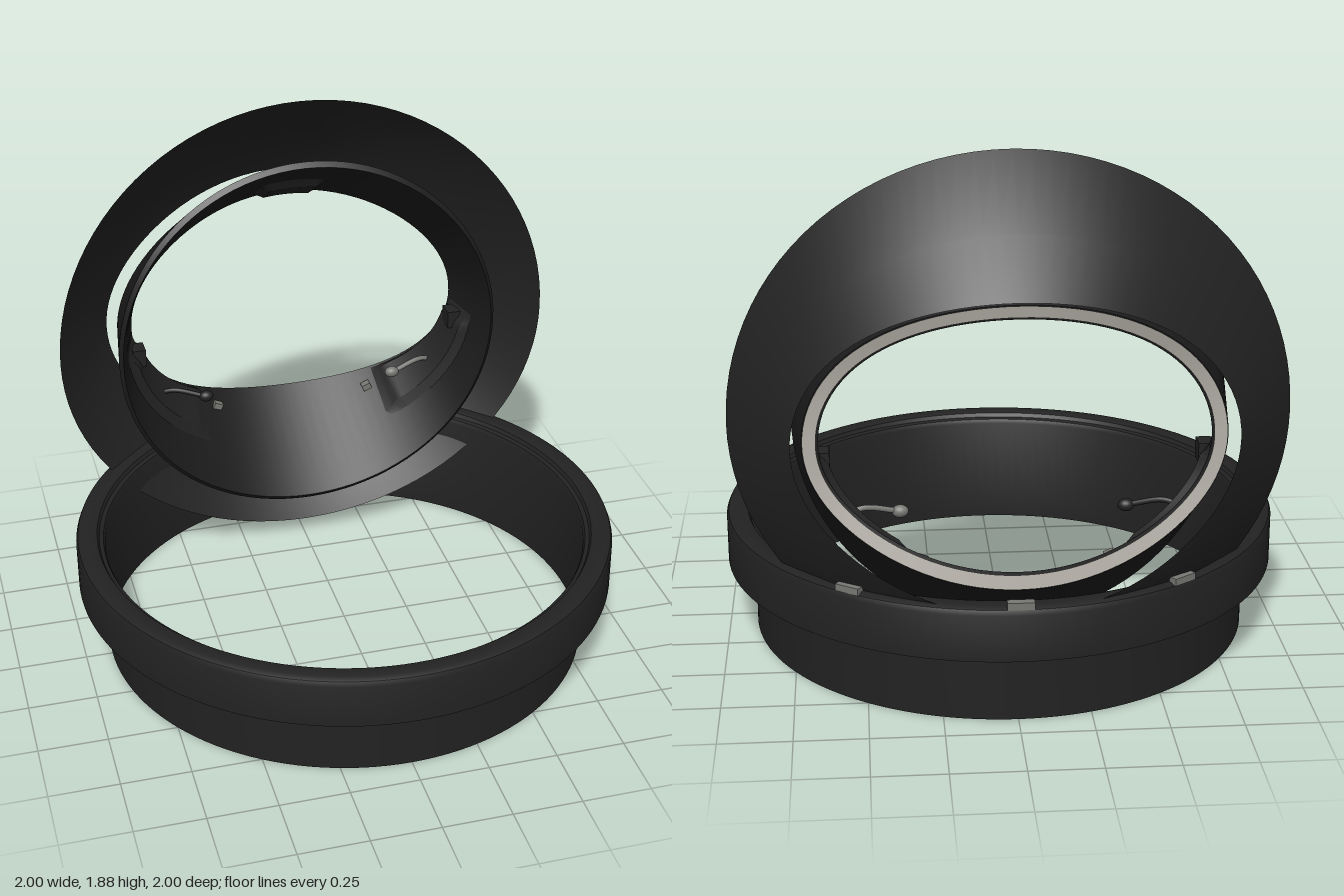
import * as THREE from 'three';
import { toCreasedNormals } from 'three/addons/utils/BufferGeometryUtils.js';

const CY = 0.95; // height of the opening's centre

// Oval cross-section: half width, top, bottom, depth at the sides, depth at top and bottom
function oval(rx, top, bottom, zSide, zEnd, power = 2) {
  return (a) => {
    const s = Math.sin(a);
    return new THREE.Vector3(
      rx * Math.cos(a),
      CY + (s > 0 ? top - CY : CY - bottom) * s,
      zSide + (zEnd - zSide) * Math.abs(s) ** power
    );
  };
}

// Skin a list of cross-sections from angle a0 to a1
function loft(sections, a0 = 0, a1 = Math.PI * 2, n = 96) {
  const pos = [], index = [], w = n + 1;
  sections.forEach((section, j) => {
    for (let i = 0; i <= n; i++) {
      const p = section(a0 + ((a1 - a0) * i) / n);
      pos.push(p.x, p.y, p.z);
      if (j && i < n) {
        const b = j * w + i, c = b - w;
        index.push(c, c + 1, b, b, c + 1, b + 1);
      }
    }
  });
  const g = new THREE.BufferGeometry();
  g.setAttribute('position', new THREE.Float32BufferAttribute(pos, 3));
  g.setIndex(index);
  return toCreasedNormals(g, 0.5);
}

// Section between two others, pulled towards the centre, with tapered ends
function between(p, q, t, inset = 0, a0 = 0, a1 = 1) {
  return (a) => {
    const v = p(a).lerp(q(a), t);
    const k = Math.min(1, 8 * Math.min(a - a0, a1 - a) / (a1 - a0));
    const f = 1 - inset * Math.max(0, k);
    v.x *= f;
    v.y = CY + (v.y - CY) * f;
    return v;
  };
}

export function createModel() {
  const model = new THREE.Group();
  const mat = (name, color) => {
    const m = new THREE.MeshStandardMaterial({ color, side: THREE.DoubleSide });
    m.name = name;
    return m;
  };
  const black = mat('black', 0x222222);
  const dark = mat('dark lining', 0x1b1b1b);
  const grey = mat('light grey', 0xb4b0a8);
  const metal = mat('metal', 0x777773);

  const add = (name, geometry, material) => {
    const m = new THREE.Mesh(geometry, material);
    m.name = name;
    model.add(m);
    return m;
  };

  // Base ring with a wider upper band and rounded lip
  const profile = [
    [0.893, 0], [0.902, 0], [0.902, 0.26], [1, 0.26], [1, 0.425], [0.993, 0.442], [0.975, 0.45],
    [0.935, 0.45], [0.922, 0.445], [0.915, 0.43], [0.9, 0.425], [0.893, 0.41], [0.893, 0],
  ].map(([x, y]) => new THREE.Vector2(x, y));
  add('baseRing', toCreasedNormals(new THREE.LatheGeometry(profile, 128), 0.6), black);

  // Flared outer collar, a thin skin from the wide rim back to the oval opening
  add('outerCollar', loft([
    oval(0.953, 1.88, 0.07, -0.55, -0.61),
    oval(0.845, 1.66, 0.25, -0.685, -0.85),
    oval(0.735, 1.47, 0.41, -0.815, -0.97, 3),
  ]), black);

  // Inner liner, a separate tunnel inside the collar
  const frontOuter = oval(0.74, 1.665, 0.21, -0.495, -0.55);
  const frontInner = oval(0.725, 1.645, 0.23, -0.48, -0.535);
  const backInner = oval(0.645, 1.4, 0.54, -0.775, -0.91, 3);
  const backOuter = oval(0.7, 1.45, 0.48, -0.775, -0.92, 3);
  add('innerLiner', loft([frontOuter, frontInner, backInner, backOuter, frontOuter]), dark);

  // Pale seal on the back edge of the liner
  const setBack = (section) => (a) => {
    const p = section(a);
    p.z -= 0.005;
    return p;
  };
  add('rearSeal', loft([
    setBack(between(backInner, backOuter, 0.15)),
    setBack(between(backInner, backOuter, 0.95)),
  ]), grey);

  // Raised pads on the inside of the liner
  const pad = (name, a0, a1, t0, t1, inset) => {
    const sec = (t, d) => between(frontInner, backInner, t, d, a0, a1);
    add(name, loft([sec(t0, 0), sec(t0 + 0.06, inset), sec(t1 - 0.06, inset), sec(t1, 0)], a0, a1, 24), black);
  };
  const deg = Math.PI / 180;
  pad('topPad', 79 * deg, 101 * deg, 0.5, 0.95, 0.05);
  pad('rightSidePad', 184 * deg, 238 * deg, 0.45, 0.98, 0.045);
  pad('leftSidePad', 302 * deg, 356 * deg, 0.45, 0.98, 0.045);

  // Mirrored fittings: stub booms, side latches and small clips
  for (const s of [-1, 1]) {
    const boomMat = s < 0 ? black : metal;
    const path = new THREE.CatmullRomCurve3([
      new THREE.Vector3(s * 0.56, 0.68, -0.72),
      new THREE.Vector3(s * 0.5, 0.695, -0.7),
      new THREE.Vector3(s * 0.39, 0.67, -0.67),
    ]);
    add('boom', new THREE.TubeGeometry(path, 16, 0.01, 8), boomMat);
    const tip = add('boomTip', new THREE.SphereGeometry(0.022, 16, 12), boomMat);
    tip.position.set(s * 0.38, 0.668, -0.67);
    tip.scale.x = 1.3;

    const latch = add('sideLatch', new THREE.BoxGeometry(0.05, 0.07, 0.07), black);
    latch.position.set(s * 0.635, 0.87, -0.7);

    const linerClip = add('linerClip', new THREE.BoxGeometry(0.035, 0.025, 0.03), metal);
    linerClip.position.set(s * 0.31, 0.545, -0.8);
    linerClip.rotation.z = s * 0.4;
  }

  // Clips along the back of the base ring
  for (const a of [-34.5, 0, 34.5]) {
    const clip = add('ringClip', new THREE.BoxGeometry(0.09, 0.025, 0.03), metal);
    const r = a ? 0.982 : 0.98;
    clip.position.set(r * Math.sin(a * deg), 0.455, -r * Math.cos(a * deg));
    clip.rotation.y = -a * deg;
  }

  return model;
}
